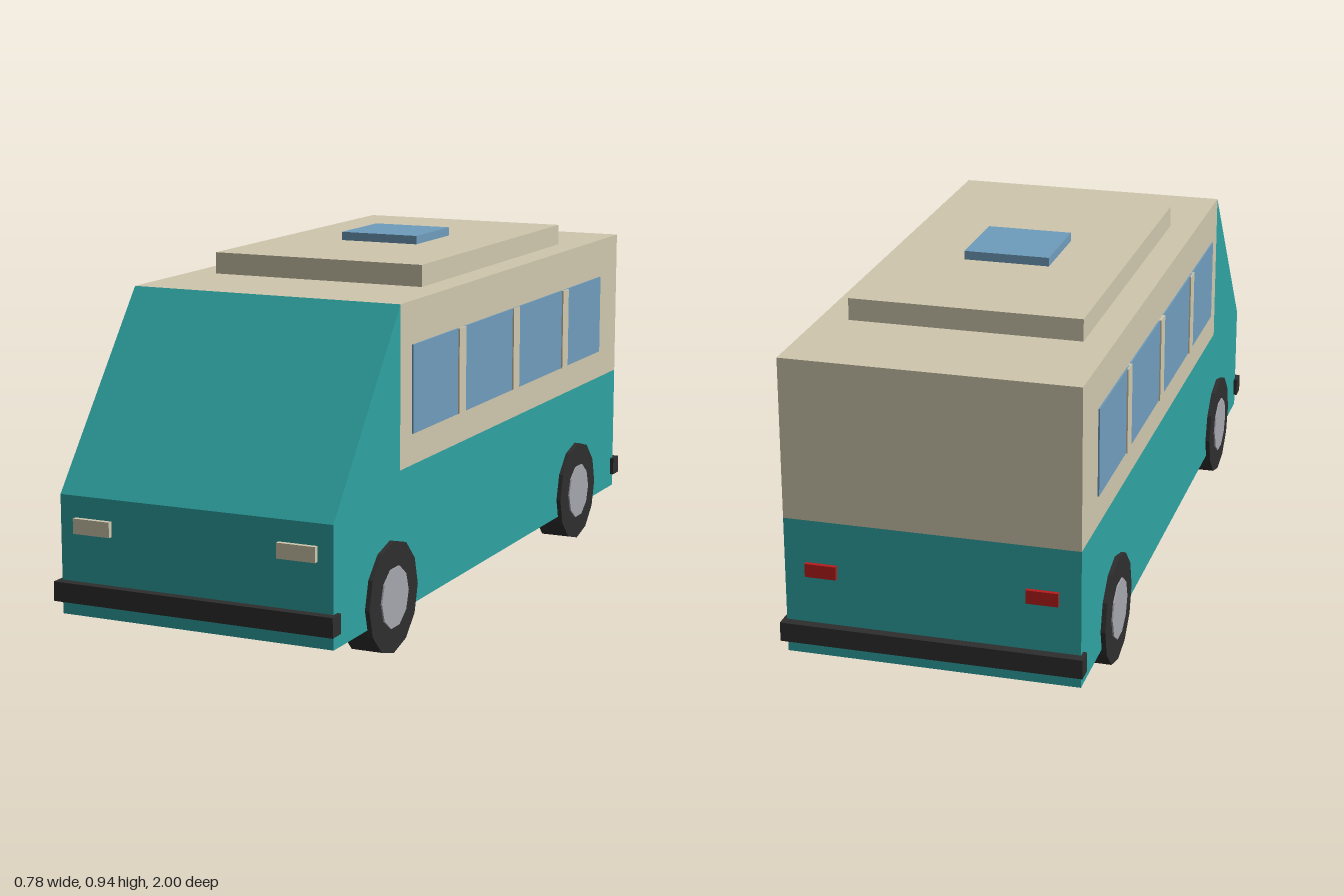
import * as THREE from 'three';

const mat = (name, color) => {
  const m = new THREE.MeshStandardMaterial({ color });
  m.name = name;
  return m;
};

export function createModel() {
  const van = new THREE.Group();
  van.name = 'van';

  const teal = mat('teal paint', 0x2fa3a3);
  const cream = mat('cream paint', 0xcfc7ad);
  const glass = mat('blue glass', 0x6f9dbd);
  const rubber = mat('black rubber', 0x2e2e2e);
  const metal = mat('hub grey', 0xa6a6ae);
  const red = mat('red lamp', 0xb81c1c);

  // Box given by its limits on each axis
  const box = (name, material, [x0, x1], [y0, y1], [z0, z1]) => {
    const mesh = new THREE.Mesh(new THREE.BoxGeometry(x1 - x0, y1 - y0, z1 - z0), material);
    mesh.position.set((x0 + x1) / 2, (y0 + y1) / 2, (z0 + z1) / 2);
    mesh.name = name;
    van.add(mesh);
    return mesh;
  };

  // Lower body and sloping cab: side profile in (z, y), extruded across the width
  const half = 0.375;
  const profile = new THREE.Shape([
    [-0.975, 0.09], [0.975, 0.09], [0.975, 0.395],
    [0.6, 0.865], [0.6, 0.45], [-0.975, 0.45],
  ].map(([z, y]) => new THREE.Vector2(z, y)));
  const bodyGeo = new THREE.ExtrudeGeometry(profile, { depth: half * 2, bevelEnabled: false });
  bodyGeo.translate(0, 0, -half).rotateY(-Math.PI / 2);
  const body = new THREE.Mesh(bodyGeo, teal);
  body.name = 'lowerBody';
  van.add(body);

  // Upper cabin, raised roof and skylight
  box('upperCabin', cream, [-half, half], [0.45, 0.865], [-0.975, 0.6]);
  box('raisedRoof', cream, [-0.3, 0.3], [0.865, 0.922], [-0.675, 0.305]);
  box('skylight', glass, [-0.113, 0.113], [0.922, 0.945], [-0.302, -0.077]);

  // Bumpers
  box('frontBumper', rubber, [-0.385, 0.385], [0.127, 0.177], [0.955, 1]);
  box('rearBumper', rubber, [-0.385, 0.385], [0.127, 0.177], [-1, -0.955]);

  for (const [side, s] of [['left', 1], ['right', -1]]) {
    const span = (a, b) => (s > 0 ? [a, b] : [-b, -a]);

    // Window strip with pillars in front of it
    box(side + 'Windows', glass, span(0.372, 0.379), [0.53, 0.755], [-0.825, 0.53]);
    for (const z of [0.227, -0.148, -0.525]) {
      box(side + 'Pillar', cream, span(0.374, 0.383), [0.53, 0.755], [z - 0.022, z + 0.022]);
    }

    // Lamps
    box(side + 'Headlight', cream, span(0.23, 0.333), [0.301, 0.34], [0.97, 0.988]);
    box(side + 'TailLight', red, span(0.24, 0.32), [0.303, 0.338], [-0.986, -0.97]);

    // Wheels
    for (const [end, z] of [['Front', 0.66], ['Rear', -0.637]]) {
      const wheel = new THREE.Group();
      wheel.name = side + end + 'Wheel';
      const tyre = new THREE.Mesh(
        new THREE.CylinderGeometry(0.143, 0.143, 0.082, 12).rotateZ(Math.PI / 2), rubber);
      tyre.name = 'tyre';
      const hub = new THREE.Mesh(
        new THREE.CylinderGeometry(0.079, 0.079, 0.09, 10).rotateZ(Math.PI / 2), metal);
      hub.name = 'hub';
      wheel.add(tyre, hub);
      wheel.position.set(s * 0.346, 0.143, z);
      van.add(wheel);
    }
  }

  for (const m of [rubber, metal]) m.flatShading = true;
  return van;
}
